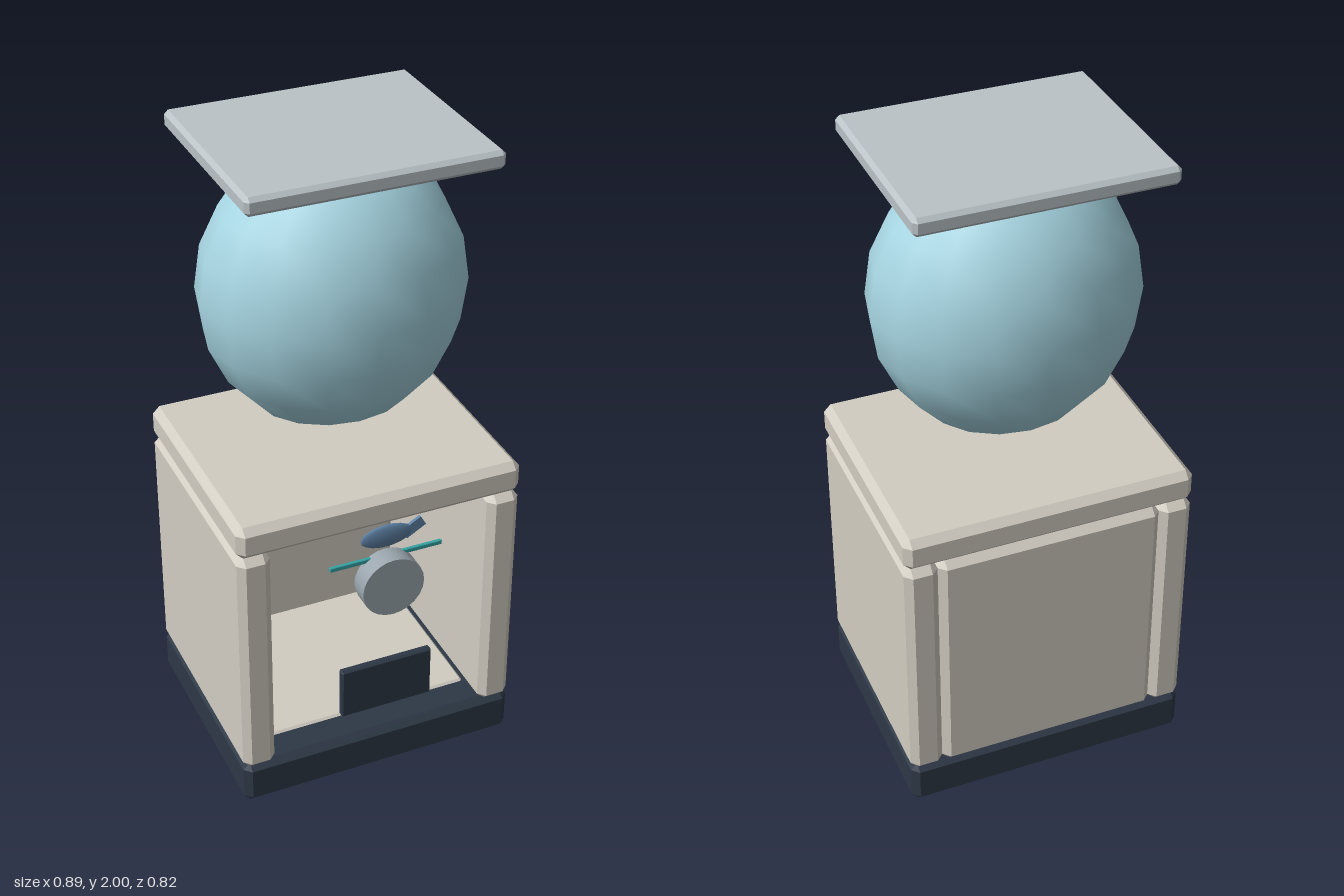
import * as THREE from 'three';
import { ConvexGeometry } from 'three/addons/geometries/ConvexGeometry.js';

const material = (color, flatShading = false) => new THREE.MeshStandardMaterial({ color, flatShading });
const cream = material(0xd2cdc2, true);
const navy = material(0x2d3846, true);
const silver = material(0xbac3c7, true);
const steel = material(0x9aa5ad);
const teal = material(0x35a3a3, true);
const blue = material(0x5f82a6);
const glass = material(0xa6d5e2);

// Box with every edge chamfered by c, given by its limits on each axis
function chamferBox([x0, x1], [y0, y1], [z0, z1], c) {
  const half = new THREE.Vector3(x1 - x0, y1 - y0, z1 - z0).multiplyScalar(0.5);
  const points = [];
  for (const sx of [-1, 1]) for (const sy of [-1, 1]) for (const sz of [-1, 1]) {
    for (let axis = 0; axis < 3; axis++) {
      const p = half.clone().subScalar(c);
      p.setComponent(axis, half.getComponent(axis));
      points.push(p.multiply(new THREE.Vector3(sx, sy, sz)));
    }
  }
  return new ConvexGeometry(points).translate((x0 + x1) / 2, (y0 + y1) / 2, (z0 + z1) / 2);
}

export function createModel() {
  const group = new THREE.Group();
  const add = (name, geometry, mat) => {
    const mesh = new THREE.Mesh(geometry, mat);
    mesh.name = name;
    group.add(mesh);
    return mesh;
  };
  const depth = [-0.41, 0.335];

  // Cabinet: plinth, open-fronted shell and lid
  add('base', chamferBox([-0.447, 0.447], [0, 0.148], depth, 0.022), navy);
  add('leftWall', chamferBox([0.345, 0.447], [0.135, 0.915], depth, 0.022), cream);
  add('rightWall', chamferBox([-0.447, -0.345], [0.135, 0.915], depth, 0.022), cream);
  add('backWall', chamferBox([-0.345, 0.345], [0.135, 0.915], [-0.41, -0.32], 0.022), cream);
  add('floor', chamferBox([-0.345, 0.345], [0.1, 0.155], [-0.34, 0.235], 0.015), cream);
  add('lid', chamferBox([-0.447, 0.447], [0.915, 1.02], depth, 0.022), cream);

  // Globe and the plate on top of it
  const globe = add('globe', new THREE.SphereGeometry(1, 16, 10), glass);
  globe.scale.set(0.4, 0.435, 0.343);
  globe.position.set(0, 1.53, -0.038);
  add('topPlate', chamferBox([-0.375, 0.375], [1.945, 2], [-0.355, 0.277], 0.012), silver);

  // Fittings at the front
  const knob = add('knob', new THREE.CylinderGeometry(0.097, 0.097, 0.064, 24), steel);
  knob.rotation.x = Math.PI / 2;
  knob.position.set(0, 0.752, 0.378);
  add('crossBar', chamferBox([-0.178, 0.178], [0.82, 0.835], [0.347, 0.358], 0.002), teal);
  add('chuteFlap', chamferBox([-0.147, 0.147], [0.278, 0.45], [0.348, 0.374], 0.005), navy);

  // Small fish ornament
  const fishBody = add('fishBody', new THREE.SphereGeometry(1, 16, 10), blue);
  fishBody.scale.set(0.082, 0.038, 0.011);
  fishBody.position.set(-0.002, 0.903, 0.358);
  const fishTail = add('fishTail', new THREE.BoxGeometry(0.07, 0.035, 0.01), blue);
  fishTail.rotation.z = Math.PI / 6;
  fishTail.position.set(0.084, 0.908, 0.355);

  return group;
}
